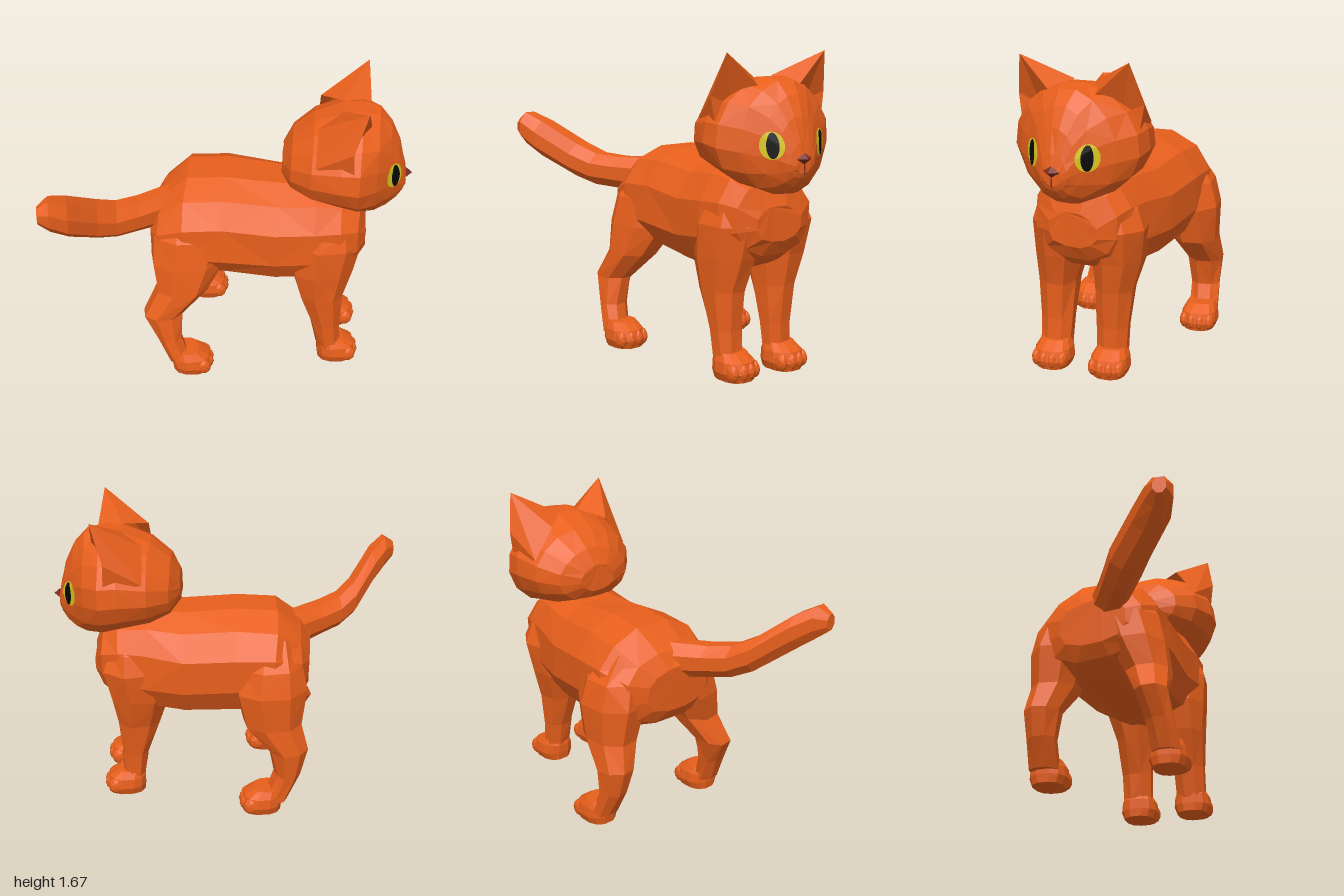
import * as THREE from 'three';

const flat = (name, hex) => {
  const m = new THREE.MeshStandardMaterial({ color: hex, flatShading: true, side: THREE.DoubleSide });
  m.name = name;
  return m;
};

export function createModel() {
  const fur = flat('orange fur', 0xea601c);
  const yellow = flat('yellow iris', 0xd8c61e);
  const black = flat('black pupil', 0x080808);
  const brown = flat('brown nose', 0x7c2a1e);

  const cat = new THREE.Group();
  cat.name = 'cat';

  const add = (parent, name, geometry, material) => {
    const mesh = new THREE.Mesh(geometry, material);
    mesh.name = name;
    parent.add(mesh);
    return mesh;
  };

  // small seeded noise gives the facets a hand-cut look
  let seed = 7;
  const noise = (s) => {
    seed = (seed * 16807) % 2147483647;
    return (seed / 2147483647 - 0.5) * 2 * s;
  };

  const soft = (v, e) => Math.sign(v) * Math.abs(v) ** e;

  // Skin over rings of points, capped at both ends; ring(i, c, s) returns [x, y, z].
  // Rings have flat sides that touch the given extents.
  function loft(count, sides, e, rough, ring) {
    const pos = [], index = [];
    const k = Math.cos(Math.PI / sides);
    for (let i = 0; i < count; i++) {
      for (let j = 0; j < sides; j++) {
        const t = ((j + 0.5) / sides) * Math.PI * 2;
        const p = ring(i, soft(Math.cos(t) / k, e), soft(Math.sin(t) / k, e));
        pos.push(...p.map((v) => v + noise(rough)));
      }
    }
    const at = (i, j) => i * sides + (j % sides);
    for (let i = 0; i < count - 1; i++) {
      for (let j = 0; j < sides; j++) {
        const a = at(i, j), b = at(i, j + 1), c = at(i + 1, j + 1), d = at(i + 1, j);
        if ((i + j) % 2) index.push(a, b, c, a, c, d);
        else index.push(a, b, d, b, c, d);
      }
    }
    const last = count - 1;
    for (let j = 1; j < sides - 1; j++) {
      index.push(at(0, 0), at(0, j + 1), at(0, j));
      index.push(at(last, 0), at(last, j), at(last, j + 1));
    }
    const g = new THREE.BufferGeometry();
    g.setAttribute('position', new THREE.Float32BufferAttribute(pos, 3));
    g.setIndex(index);
    const out = g.toNonIndexed();
    out.computeVertexNormals();
    return out;
  }

  // rows: x, bottom, top, centre z, half width; tilt turns the rings about the vertical
  const loftX = (rows, sides, e = 1, pear = 0, tilt = 0, rough = 0) => loft(rows.length, sides, e, rough, (i, c, s) => {
    const [x, lo, hi, z, w] = rows[i];
    const dz = w * s * (1 - pear * c);
    return [x - tilt * dz, (lo + hi) / 2 + ((hi - lo) / 2) * c, z + dz];
  });

  // rows: y, back x, front x, centre z, half width
  const loftY = (rows, sides, e = 1, rough = 0) => loft(rows.length, sides, e, rough, (i, c, s) => {
    const [y, back, front, z, w] = rows[i];
    return [(back + front) / 2 + ((front - back) / 2) * s, y, z + w * c];
  });

  // Torso, turned slightly towards the right
  add(cat, 'body', loftX([
    [-0.38, 0.67, 0.92, -0.07, 0.19],
    [-0.33, 0.60, 1.00, -0.075, 0.28],
    [-0.19, 0.54, 1.115, -0.07, 0.335],
    [0.02, 0.53, 1.125, -0.03, 0.33],
    [0.30, 0.50, 1.10, 0.03, 0.31],
    [0.50, 0.52, 1.12, 0.09, 0.29],
    [0.64, 0.57, 1.10, 0.12, 0.265],
    [0.73, 0.64, 1.03, 0.135, 0.22],
    [0.775, 0.72, 0.90, 0.145, 0.13],
  ], 12, 0.88, 0.05, 0.21, 0.006), fur);

  // Tail sweeping back and to the right
  add(cat, 'tail', loftX([
    [-1.0, 1.15, 1.24, 0.415, 0.035],
    [-0.94, 1.10, 1.28, 0.40, 0.075],
    [-0.85, 1.03, 1.23, 0.345, 0.10],
    [-0.70, 0.91, 1.10, 0.205, 0.105],
    [-0.60, 0.865, 1.045, 0.145, 0.10],
    [-0.48, 0.85, 1.03, 0.085, 0.095],
    [-0.28, 0.82, 1.03, -0.02, 0.09],
  ], 8), fur);

  // Legs, from ankle to a top buried in the shoulder or hip
  const legs = {
    frontRightLeg: [
      [0.08, 0.51, 0.64, 0.30, 0.08], [0.25, 0.47, 0.625, 0.295, 0.085],
      [0.45, 0.395, 0.63, 0.29, 0.1], [0.62, 0.35, 0.68, 0.27, 0.13],
      [0.80, 0.36, 0.72, 0.25, 0.155], [0.91, 0.41, 0.69, 0.23, 0.135], [1.0, 0.46, 0.62, 0.18, 0.09]],
    frontLeftLeg: [
      [0.08, 0.57, 0.68, -0.02, 0.08], [0.25, 0.54, 0.685, -0.025, 0.085],
      [0.45, 0.47, 0.70, -0.03, 0.1], [0.62, 0.42, 0.73, -0.05, 0.13],
      [0.80, 0.42, 0.775, -0.045, 0.155], [0.91, 0.47, 0.74, -0.03, 0.135], [1.0, 0.52, 0.67, 0.01, 0.09]],
    hindRightLeg: [
      [0.07, -0.35, -0.23, 0.31, 0.075], [0.22, -0.41, -0.28, 0.285, 0.075],
      [0.37, -0.48, -0.27, 0.25, 0.085], [0.52, -0.40, -0.12, 0.215, 0.115],
      [0.68, -0.42, -0.02, 0.16, 0.15], [0.84, -0.41, 0.0, 0.12, 0.155],
      [0.97, -0.33, -0.08, 0.06, 0.12]],
    hindLeftLeg: [
      [0.07, -0.19, -0.07, -0.38, 0.08], [0.22, -0.26, -0.13, -0.38, 0.08],
      [0.37, -0.30, -0.10, -0.375, 0.095], [0.52, -0.27, 0.03, -0.33, 0.12],
      [0.72, -0.30, 0.08, -0.31, 0.15], [0.86, -0.28, 0.05, -0.27, 0.15],
      [1.0, -0.24, -0.04, -0.21, 0.11]],
  };
  for (const [name, rows] of Object.entries(legs)) add(cat, name, loftY(rows, 8, 0.95, 0.004), fur);

  // Paws with four toes each
  const paws = [
    ['frontRightPaw', 0.625, 0.30], ['frontLeftPaw', 0.675, -0.02],
    ['hindRightPaw', -0.215, 0.31], ['hindLeftPaw', -0.045, -0.37],
  ];
  for (const [name, x, z] of paws) {
    const paw = new THREE.Group();
    paw.name = name;
    paw.position.set(x, 0, z);
    paw.rotation.y = -0.1;
    cat.add(paw);
    add(paw, 'foot', loftY([
      [0, -0.11, 0.095, 0, 0.085], [0.045, -0.115, 0.108, 0, 0.102],
      [0.10, -0.115, 0.09, 0, 0.095], [0.14, -0.10, 0.03, 0, 0.075]], 12, 0.8), fur);
    for (let k = 0; k < 4; k++) {
      const toe = add(paw, 'toe', new THREE.IcosahedronGeometry(1, 1), fur);
      toe.scale.set(0.046, 0.05, 0.029);
      toe.position.set(k % 3 ? 0.072 : 0.055, 0.051, -0.072 + k * 0.048);
    }
  }

  // Head, in its own turned frame with +x forward
  const head = new THREE.Group();
  head.name = 'head';
  head.position.set(0.62, 0, 0.11);
  head.rotation.y = -0.22;
  const skull = add(head, 'skull', loftX([
    [-0.31, 1.15, 1.30, 0, 0.11],
    [-0.26, 1.085, 1.39, 0, 0.22],
    [-0.15, 1.04, 1.48, 0, 0.31],
    [0.00, 1.01, 1.54, 0, 0.35],
    [0.10, 0.98, 1.55, 0, 0.34],
    [0.19, 0.965, 1.53, 0, 0.26],
    [0.255, 0.98, 1.46, 0, 0.175],
    [0.305, 1.015, 1.36, 0, 0.115],
    [0.34, 1.06, 1.24, 0, 0.075],
    [0.353, 1.09, 1.18, 0, 0.045],
  ], 16, 1, 0.09, 0, 0.003), fur);

  // Thin oval plates laid onto the face
  const ray = new THREE.Raycaster();
  function plate(name, material, y, w, ry, rw, lift) {
    const g = new THREE.RingGeometry(0.001, 1, 24, 6);
    const p = g.attributes.position;
    for (let i = 0; i < p.count; i++) {
      const py = y + p.getY(i) * ry, pw = w - p.getX(i) * rw;
      ray.set(new THREE.Vector3(2, py, pw), new THREE.Vector3(-1, 0, 0));
      const hit = ray.intersectObject(skull)[0];
      p.setXYZ(i, (hit ? hit.point.x : 0.3) + lift, py, pw);
    }
    g.computeVertexNormals();
    add(head, name, g, material);
  }
  for (const w of [-0.155, 0.143]) {
    plate('iris', yellow, 1.225, w, 0.068, 0.05, 0.007);
    plate('pupil', black, 1.225, w, 0.064, 0.025, 0.013);
  }
  plate('lipLine', brown, 1.11, 0, 0.03, 0.004, 0.005);
  const nose = add(head, 'nose', new THREE.OctahedronGeometry(1), brown);
  nose.scale.set(0.032, 0.028, 0.046);
  nose.position.set(0.356, 1.16, 0);

  // Pointed ears: a closed back and a hollow front
  const pts = {
    T: [0.125, 1.67, 0.30], I: [0.15, 1.48, 0.10], M: [0.0, 1.545, 0.06], B: [-0.125, 1.505, 0.18],
    O: [-0.13, 1.335, 0.30], F: [0.07, 1.30, 0.325], S: [0.06, 1.46, 0.35], H: [0.05, 1.41, 0.23],
  };
  const faces = ['TIM', 'TMB', 'TBO', 'TOS', 'SOF', 'TSH', 'SFH', 'THI', 'HFI'];
  for (const side of [-1, 1]) {
    const core = new THREE.Vector3(0, 1.43, 0.22 * side);
    const verts = [];
    for (const f of faces) {
      const [a, b, c] = [...f].map((k) => new THREE.Vector3(pts[k][0], pts[k][1], pts[k][2] * side));
      const tri = new THREE.Triangle(a, b, c);
      const out = tri.getMidpoint(new THREE.Vector3()).sub(core);
      const ok = tri.getNormal(new THREE.Vector3()).dot(out) > 0;
      for (const v of ok ? [a, b, c] : [a, c, b]) verts.push(v.x, v.y, v.z);
    }
    const g = new THREE.BufferGeometry();
    g.setAttribute('position', new THREE.Float32BufferAttribute(verts, 3));
    g.computeVertexNormals();
    add(head, side > 0 ? 'rightEar' : 'leftEar', g, fur);
  }
  cat.add(head);

  return cat;
}
